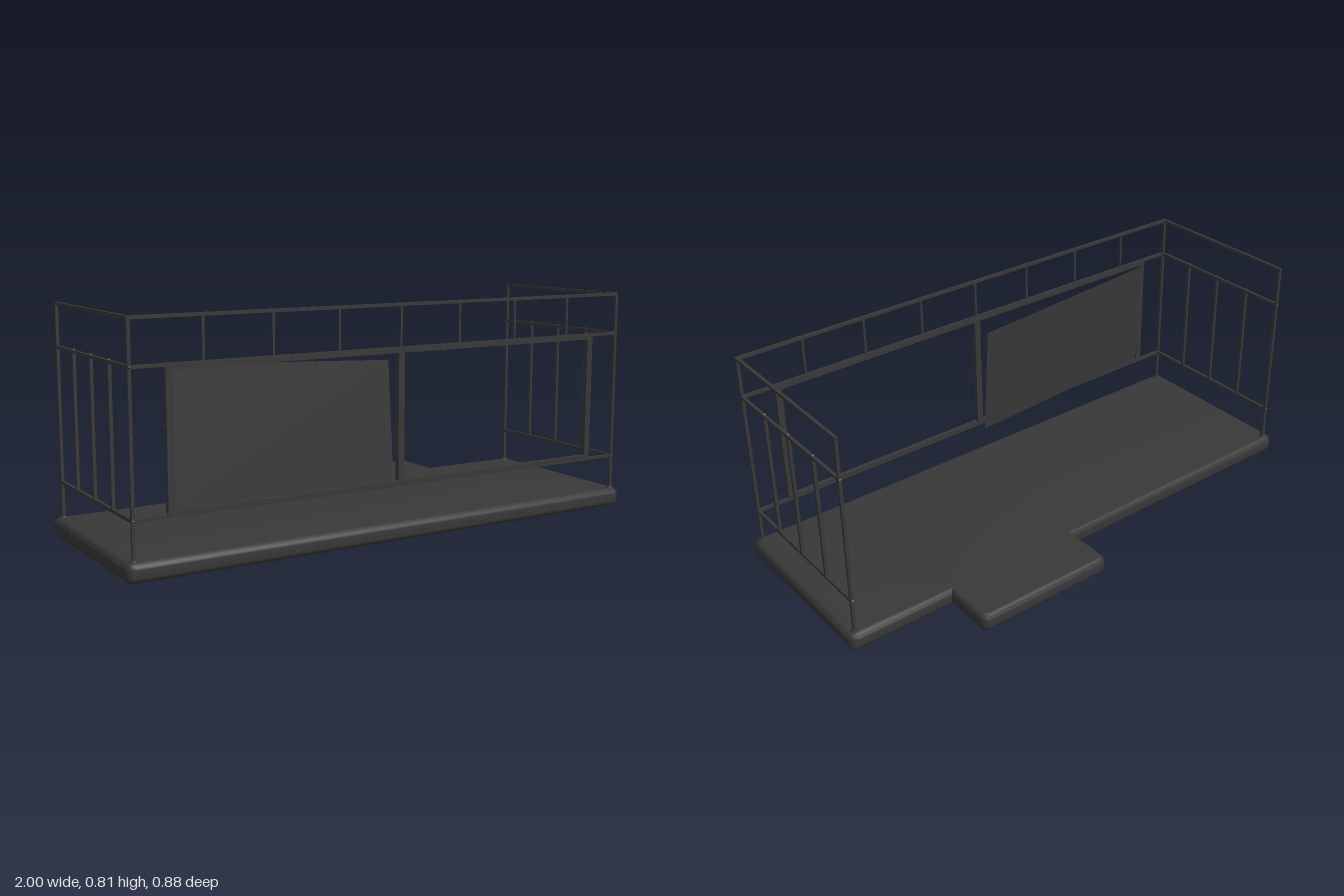
import * as THREE from 'three';
import { toCreasedNormals } from 'three/addons/utils/BufferGeometryUtils.js';

export function createModel() {
  const model = new THREE.Group();
  model.name = 'balcony';
  const metal = new THREE.MeshStandardMaterial({ color: 0x383838 });
  metal.name = 'dark grey';
  const sheet = new THREE.MeshStandardMaterial({ color: 0x383838, side: THREE.DoubleSide });
  sheet.name = 'dark grey sheet';

  const add = (parent, name, geometry, material = metal) => {
    const mesh = new THREE.Mesh(geometry, material);
    mesh.name = name;
    parent.add(mesh);
    return mesh;
  };
  // Box given by its two extreme corners
  const bar = (parent, name, x0, x1, y0, y1, z0, z1) =>
    add(parent, name, new THREE.BoxGeometry(x1 - x0, y1 - y0, z1 - z0))
      .position.set((x0 + x1) / 2, (y0 + y1) / 2, (z0 + z1) / 2);

  // Floor slab with a projecting landing at the back, edges rounded
  const r = 0.022, c = 0.008;
  const outline = [
    [-1, -0.44], [1, -0.44], [1, 0.25], [0.605, 0.25],
    [0.605, 0.44], [0.065, 0.44], [0.065, 0.25], [-1, 0.25],
  ];
  const n = outline.length;
  const inset = outline.map((p, i) => {
    const a = outline[(i + n - 1) % n], b = outline[(i + 1) % n];
    const d1 = [Math.sign(p[0] - a[0]), Math.sign(p[1] - a[1])];
    const d2 = [Math.sign(b[0] - p[0]), Math.sign(b[1] - p[1])];
    return {
      d1, d2, convex: d1[0] * d2[1] - d1[1] * d2[0] > 0,
      p: [p[0] - r * (d1[1] + d2[1]), p[1] + r * (d1[0] + d2[0])],
    };
  });
  const shape = new THREE.Shape();
  inset.forEach(({ p, d1, d2, convex }, i) => {
    const k = convex ? c : 0;
    const start = [p[0] - d1[0] * k, p[1] - d1[1] * k];
    if (i === 0) shape.moveTo(...start); else shape.lineTo(...start);
    if (convex) shape.quadraticCurveTo(p[0], p[1], p[0] + d2[0] * k, p[1] + d2[1] * k);
  });
  shape.closePath();
  const slab = new THREE.ExtrudeGeometry(shape, {
    depth: 0.068 - 2 * r, bevelThickness: r, bevelSize: r, bevelSegments: 5, curveSegments: 4,
  });
  slab.rotateX(-Math.PI / 2).translate(0, r, 0);
  add(model, 'floor', toCreasedNormals(slab, 0.7));

  // Railing
  const t = 0.0055, px = 0.97, zf = 0.414, zb = -0.221;
  const levels = [0.193, 0.66, 0.807];
  const railing = new THREE.Group();
  railing.name = 'railing';
  model.add(railing);

  for (const y of levels) bar(railing, 'frontRail', -px, px, y - t, y + t, zf - t, zf + t);
  for (let i = 1; i < 8; i++) {
    const x = -px + (2 * px * i) / 8;
    bar(railing, 'frontBaluster', x - 0.004, x + 0.004, levels[1], levels[2], zf - 0.004, zf + 0.004);
  }

  for (const s of [-1, 1]) {
    const x = s * px;
    for (const z of [zf, zb]) {
      bar(railing, 'post', x - t, x + t, 0.06, levels[2] + t, z - t, z + t);
      add(railing, 'postFoot', new THREE.CylinderGeometry(0.011, 0.014, 0.008, 12))
        .position.set(x, 0.07, z);
    }
    for (const y of levels) bar(railing, 'sideRail', x - t, x + t, y - t, y + t, zb, zf);
    for (let i = 0; i <= 4; i++) {
      const z = zb + ((zf - zb) * i) / 4;
      if (i > 0 && i < 4) bar(railing, 'sideBaluster', x - t, x + t, levels[0], levels[1], z - t, z + t);
      // Small weld at each crossing
      for (const y of levels.slice(0, 2)) {
        const weld = add(railing, 'weld', new THREE.BoxGeometry(0.009, 0.013, 0.013));
        weld.position.set(x, y, z);
        weld.rotation.x = Math.PI / 4;
      }
    }
  }

  // Two picture frames behind the front rails, the left bay empty
  const frame = new THREE.Group();
  frame.name = 'panelFrame';
  model.add(frame);
  const f0 = 0.404, f1 = 0.422;
  for (const x of [-0.844, 0, 0.84]) bar(frame, 'frameUpright', x - 0.012, x + 0.012, 0.196, 0.656, f0, f1);
  for (const y of [0.202, 0.652]) bar(frame, 'frameRail', -0.855, 0.85, y - 0.007, y + 0.007, f0, f1);

  // Loose infill sheet, leaning back and twisted out of its frame
  const panel = new THREE.BufferGeometry();
  panel.setAttribute('position', new THREE.Float32BufferAttribute([
    -0.838, 0.21, 0.41, -0.008, 0.175, 0.388,
    -0.008, 0.615, 0.351, -0.82, 0.655, 0.378,
  ], 3));
  panel.setIndex([0, 1, 2, 0, 2, 3]);
  panel.computeVertexNormals();
  add(model, 'loosePanel', panel, sheet);

  return model;
}
